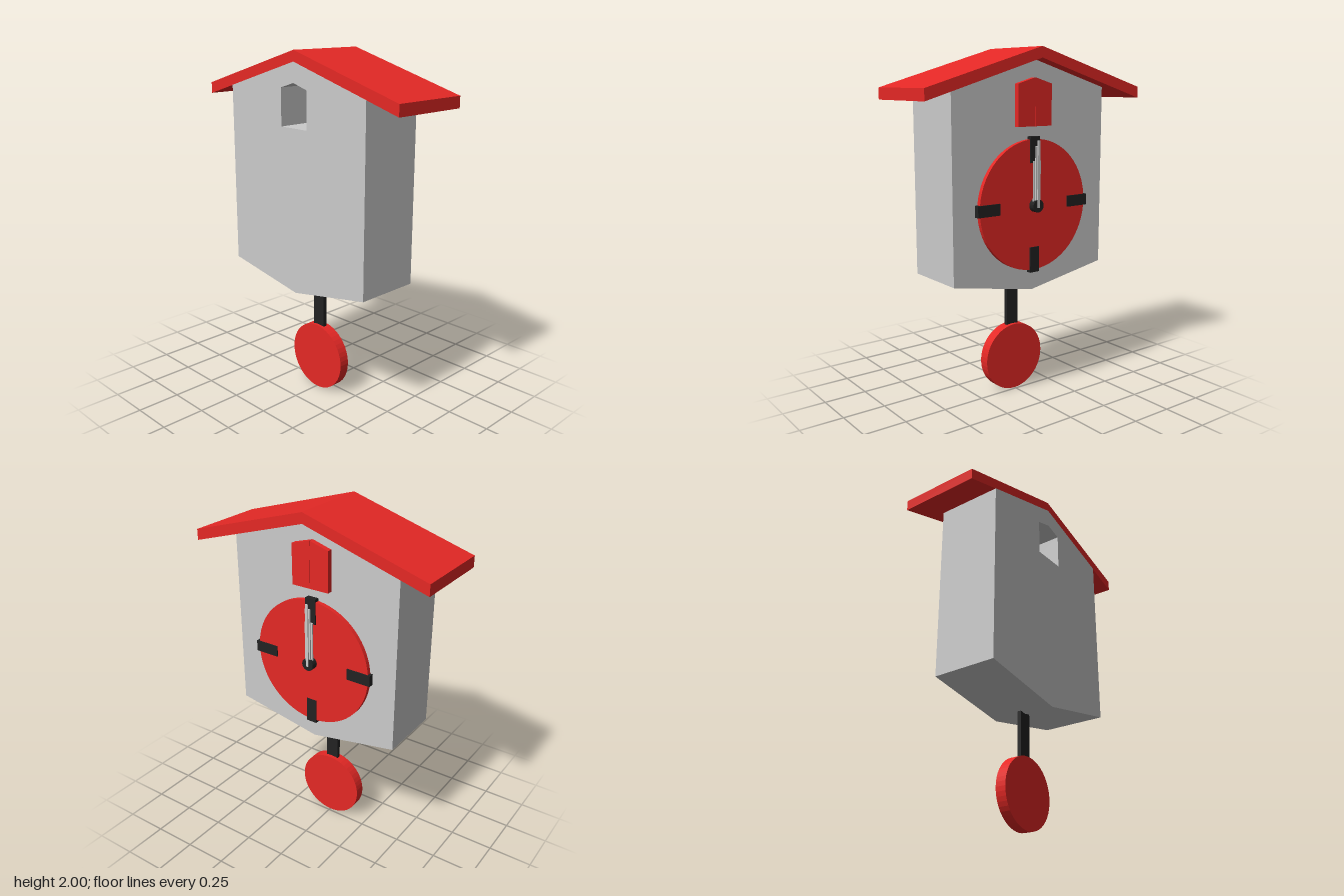
import * as THREE from 'three';

const mat = (color) => new THREE.MeshStandardMaterial({ color, flatShading: true });

export function createModel() {
  const clock = new THREE.Group();
  clock.name = 'cuckooClock';
  const grey = mat(0xcccccc), red = mat(0xe52825), black = mat(0x222222);

  const add = (name, geometry, material) => {
    const mesh = new THREE.Mesh(geometry, material);
    mesh.name = name;
    clock.add(mesh);
    return mesh;
  };
  const outline = (pts) => pts.map(([a, b]) => new THREE.Vector2(a, b));

  // Profile given as (-z, y), extruded from x0 to x1
  const slab = (name, pts, x0, x1, material, hole) => {
    const shape = new THREE.Shape(outline(pts));
    if (hole) shape.holes.push(new THREE.Path(outline(hole)));
    const g = new THREE.ExtrudeGeometry(shape, { depth: x1 - x0, bevelEnabled: false });
    g.translate(0, 0, x0).rotateY(Math.PI / 2);
    return add(name, g, material);
  };
  // Box between two corners
  const box = (name, [x0, y0, z0], [x1, y1, z1], material) => {
    const g = new THREE.BoxGeometry(x1 - x0, y1 - y0, z1 - z0);
    g.translate((x0 + x1) / 2, (y0 + y1) / 2, (z0 + z1) / 2);
    return add(name, g, material);
  };
  // Disc whose axis runs along x
  const disc = (name, r, y, x0, x1, material, sides = 48) => {
    const g = new THREE.CylinderGeometry(r, r, x1 - x0, sides);
    g.rotateZ(Math.PI / 2).translate((x0 + x1) / 2, y, 0);
    return add(name, g, material);
  };

  // House with a cuckoo opening running through it
  slab('house',
    [[0, 0.65], [0.52, 0.745], [0.52, 1.784], [0, 1.94], [-0.52, 1.784], [-0.52, 0.745]],
    -0.24, 0.145, grey,
    [[-0.1, 1.59], [-0.1, 1.8], [0, 1.83], [0.1, 1.8], [0.1, 1.59]]);

  // Gable roof
  slab('roof',
    [[0, 1.94], [0.725, 1.722], [0.725, 1.785], [0, 2], [-0.725, 1.785], [-0.725, 1.722]],
    -0.238, 0.235, red);

  // Pair of cuckoo doors
  for (const s of [-1, 1]) {
    slab(s > 0 ? 'rightDoor' : 'leftDoor',
      [[s * 0.001, 1.576], [s * 0.115, 1.576], [s * 0.115, 1.805], [s * 0.001, 1.838]],
      0.145, 0.175, red);
  }

  // Dial and its four hour marks
  const dialY = 1.14;
  disc('dial', 0.367, dialY, 0.145, 0.17, red, 64);
  for (let i = 0; i < 4; i++) {
    const g = new THREE.BoxGeometry(0.03, 0.145, 0.064);
    g.translate(0, 0.309, 0).rotateX(i * Math.PI / 2);
    add('hourMark', g, black).position.set(0.161, dialY, 0);
  }

  // Hub and stacked hands, all pointing up
  disc('hub', 0.036, dialY, 0.15, 0.208, black, 24);
  [['hourHand', 0.187, 1.39, 0.025], ['minuteHand', 0.196, 1.47, 0.016], ['secondHand', 0.205, 1.5, 0.008]]
    .forEach(([name, x, top, w]) => box(name, [x, 1.13, -w], [x + 0.007, top, w], grey));

  // Pendulum
  box('pendulumRod', [-0.058, 0.36, -0.04], [-0.035, 0.7, 0.04], black);
  disc('pendulumBob', 0.2, 0.2, -0.076, -0.014, red);

  return clock;
}
